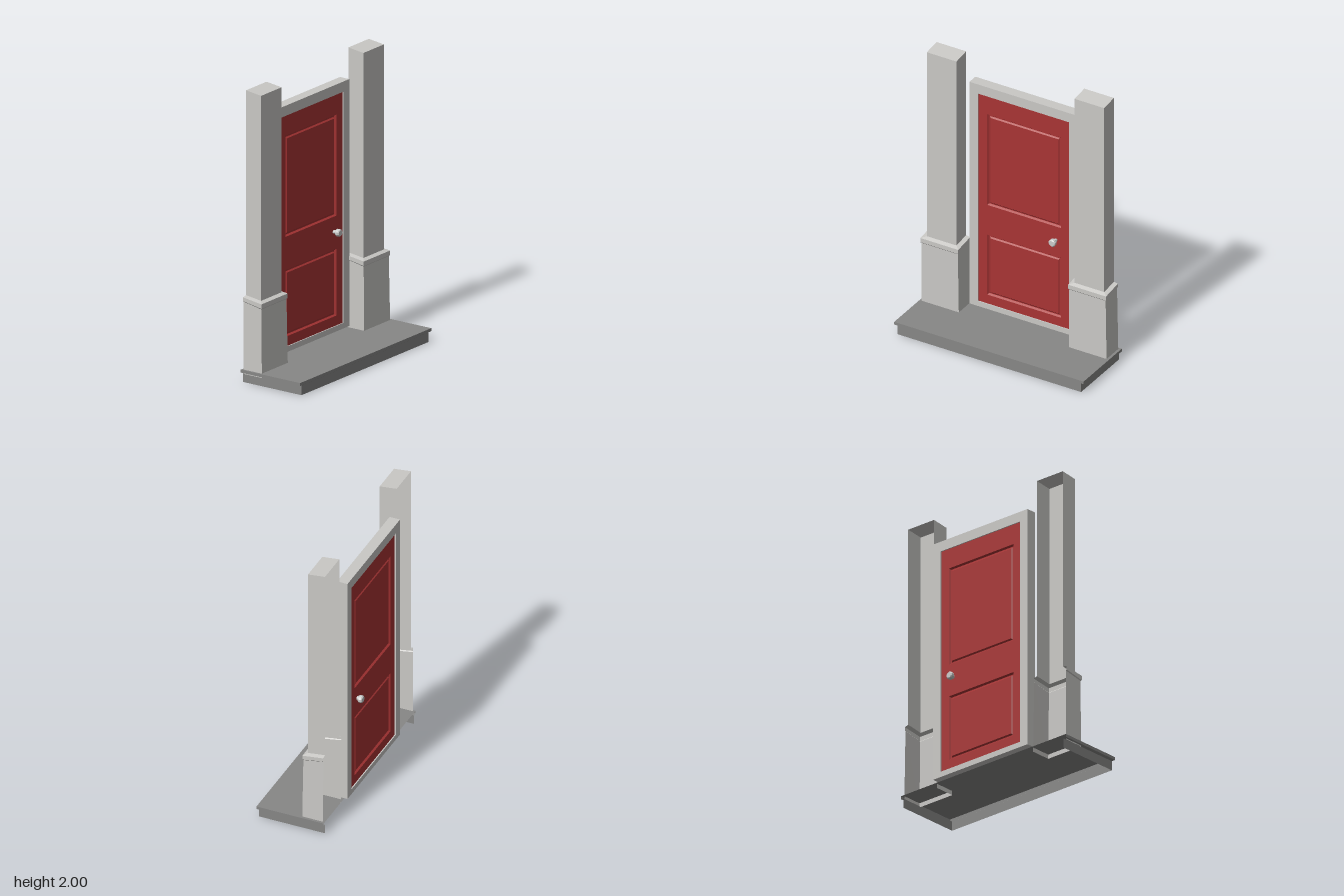
import * as THREE from 'three';

const flat = (name, color, side = THREE.DoubleSide) => {
  const m = new THREE.MeshStandardMaterial({ color, side });
  m.name = name;
  return m;
};

// Skin a list of equally long point rows with flat-shaded quads
function loft(rows, closed = false) {
  const pos = [];
  for (let i = 0; i < rows.length - 1; i++) {
    const a = rows[i], b = rows[i + 1], n = a.length;
    for (let j = 0; j < (closed ? n : n - 1); j++) {
      const k = (j + 1) % n;
      pos.push(...a[j], ...a[k], ...b[k], ...a[j], ...b[k], ...b[j]);
    }
  }
  const g = new THREE.BufferGeometry();
  g.setAttribute('position', new THREE.Float32BufferAttribute(pos, 3));
  g.computeVertexNormals();
  return g;
}

// Three-sided outline, open at the back; front and back heights may differ
const uRow = (x0, x1, zb, zf, yf, yb = yf) =>
  [[x0, yb, zb], [x0, yf, zf], [x1, yf, zf], [x1, yb, zb]];

// Closed rectangle seen from the front
const rect = (x0, x1, y0, y1, z, d = 0) =>
  [[x0 + d, y0 + d, z], [x1 - d, y0 + d, z], [x1 - d, y1 - d, z], [x0 + d, y1 - d, z]];

function rectPath(Type, x0, x1, y0, y1) {
  return new Type(rect(x0, x1, y0, y1, 0).map(([x, y]) => new THREE.Vector2(x, y)));
}

export function createModel() {
  const model = new THREE.Group();
  model.name = 'frontDoor';
  const stone = flat('paleStone', 0xc9c8c5);
  const slab = flat('greyStone', 0x878786);
  const red = flat('redPaint', 0xa83434);
  const metal = flat('paleMetal', 0xc9cac9);
  metal.flatShading = true;

  const add = (parent, name, geometry, material) => {
    const mesh = new THREE.Mesh(geometry, material);
    mesh.name = name;
    parent.add(mesh);
    return mesh;
  };

  // Step: hollow shell with an overhanging lip, open below and behind
  const back = -0.208;
  const lipTop = uRow(-0.723, 0.723, back, 0.274, 0.09);
  add(model, 'step', loft([
    uRow(-0.7, 0.7, back, 0.268, 0),
    uRow(-0.7, 0.7, back, 0.268, 0.066),
    uRow(-0.723, 0.723, back, 0.274, 0.07),
    lipTop,
  ]), slab);
  add(model, 'stepTop', loft([[lipTop[1], lipTop[2]], [lipTop[0], lipTop[3]]]), slab);

  // Pillars: tapered plinth, slanted band and shaft, all open at the back
  const pb = -0.194;
  const shaftTop = uRow(-0.113, 0.113, pb, -0.072, 1.985, 2);
  const pillarGeometry = loft([
    uRow(-0.14, 0.147, pb, -0.046, 0.06),
    uRow(-0.14, 0.137, pb, -0.05, 0.53, 0.556),
    uRow(-0.146, 0.143, pb, -0.045, 0.536, 0.562),
    uRow(-0.146, 0.143, pb, -0.045, 0.567, 0.587),
    uRow(-0.113, 0.113, pb, -0.072, 0.578, 0.594),
    shaftTop,
  ]);
  const capGeometry = loft([[shaftTop[1], shaftTop[2]], [shaftTop[0], shaftTop[3]]]);
  for (const [side, x] of [['right', -0.57], ['left', 0.558]]) {
    const pillar = new THREE.Group();
    pillar.name = side + 'Pillar';
    pillar.position.x = x;
    add(pillar, side + 'PillarShell', pillarGeometry, stone);
    add(pillar, side + 'PillarCap', capGeometry, stone);
    model.add(pillar);
  }

  // Door frame
  const frameShape = rectPath(THREE.Shape, -0.413, 0.413, 0.102, 1.797);
  frameShape.holes.push(rectPath(THREE.Path, -0.347, 0.347, 0.14, 1.727));
  const frame = new THREE.ExtrudeGeometry(frameShape, { depth: 0.075, bevelEnabled: false });
  add(model, 'doorFrame', frame.translate(0, 0, -0.238), stone);

  // Door leaf: the same panelled face on both sides
  const door = new THREE.Group();
  door.name = 'door';
  door.position.z = -0.2;
  model.add(door);
  const half = 0.03;
  const panels = [[-0.282, 0.282, 0.893, 1.587], [-0.282, 0.282, 0.207, 0.665]];
  const faceShape = rectPath(THREE.Shape, -0.347, 0.347, 0.14, 1.727);
  panels.forEach(p => faceShape.holes.push(rectPath(THREE.Path, ...p)));
  const faceGeometry = new THREE.ShapeGeometry(faceShape).translate(0, 0, half);

  // Knob: short stem and a chamfered ten-sided head
  const knobGeometry = new THREE.LatheGeometry([
    [0.013, 0], [0.013, 0.023], [0.021, 0.023], [0.026, 0.029],
    [0.026, 0.049], [0.02, 0.055], [0, 0.055],
  ].map(p => new THREE.Vector2(...p)), 10).rotateX(Math.PI / 2);

  for (const side of ['front', 'back']) {
    const face = new THREE.Group();
    face.name = side + 'DoorFace';
    if (side === 'back') face.rotation.y = Math.PI;
    add(face, side + 'DoorSurface', faceGeometry, red);
    panels.forEach((p, i) => {
      const name = side + (i ? 'LowerPanel' : 'UpperPanel');
      // Sunken groove around a slightly raised field
      add(face, name + 'Moulding', loft([
        rect(...p, half), rect(...p, half - 0.012, 0.009),
        rect(...p, half - 0.012, 0.015), rect(...p, half - 0.004, 0.024),
      ], true), red);
      const f = rect(...p, half - 0.004, 0.024);
      add(face, name, loft([[f[0], f[1]], [f[3], f[2]]]), red);
    });
    const knob = add(face, side + 'Knob', knobGeometry, metal);
    knob.position.set(side === 'front' ? 0.245 : -0.245, 0.793, side === 'front' ? half + 0.005 : half - 0.011);
    door.add(face);
  }
  return model;
}
